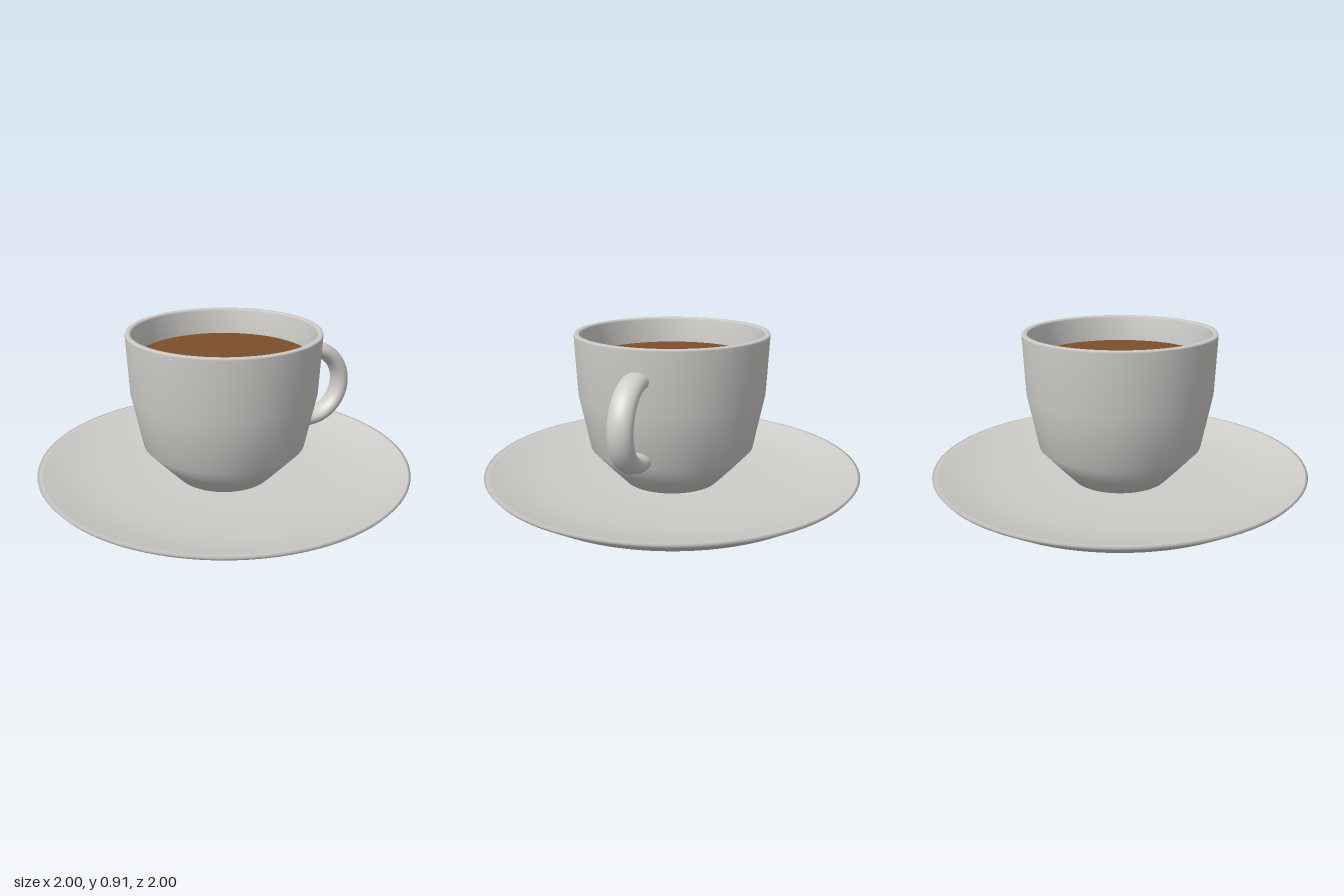
import * as THREE from 'three';

const SEGMENTS = 96;

// Turned part from [radius, height] pairs, listed from the bottom outside to the inside
function turned(name, points, material) {
  const profile = points.map(([r, y]) => new THREE.Vector2(r, y));
  const mesh = new THREE.Mesh(new THREE.LatheGeometry(profile, SEGMENTS), material);
  mesh.name = name;
  return mesh;
}

export function createModel() {
  const porcelain = new THREE.MeshStandardMaterial({ color: 0xcfcdc9 });
  porcelain.name = 'porcelain';
  const coffeeBrown = new THREE.MeshStandardMaterial({ color: 0x7b4e2b });
  coffeeBrown.name = 'coffee brown';

  const model = new THREE.Group();
  model.name = 'cupAndSaucer';

  // Saucer: flat foot, stepped underside, thin lip and dished top
  model.add(turned('saucer', [
    [0, 0], [0.64, 0], [0.655, 0.006], [0.695, 0.05], [0.87, 0.095], [0.985, 0.168],
    [1, 0.187], [0.985, 0.19], [0.965, 0.183], [0.85, 0.15], [0.72, 0.126],
    [0.55, 0.112], [0.35, 0.108], [0, 0.108],
  ], porcelain));

  // Cup: tapered foot, rounded lip and hollow inside
  model.add(turned('cup', [
    [0, 0.09], [0.24, 0.09], [0.345, 0.2], [0.436, 0.3], [0.494, 0.59], [0.508, 0.9],
    [0.505, 0.91], [0.484, 0.91], [0.477, 0.9], [0.462, 0.77], [0.45, 0.6],
    [0.395, 0.32], [0.24, 0.17], [0, 0.16],
  ], porcelain));

  // Coffee surface
  const coffee = new THREE.Mesh(new THREE.CircleGeometry(0.462, SEGMENTS), coffeeBrown);
  coffee.name = 'coffee';
  coffee.rotation.x = -Math.PI / 2;
  coffee.position.y = 0.77;
  model.add(coffee);

  // Handle: half ring with an oval section, widened along z
  const handle = new THREE.Group();
  handle.name = 'handle';
  handle.position.set(0.497, 0.555, 0);
  handle.scale.z = 1.42;
  const ringRadius = 0.2, tubeRadius = 0.0445, halfArc = 1.65;
  const ringGeometry = new THREE.TorusGeometry(ringRadius, tubeRadius, 24, 48, halfArc * 2);
  ringGeometry.rotateZ(-halfArc);
  const ring = new THREE.Mesh(ringGeometry, porcelain);
  ring.name = 'handleRing';
  handle.add(ring);

  // Flat ends of the handle
  for (const side of [1, -1]) {
    const capGeometry = new THREE.CircleGeometry(tubeRadius, 24);
    capGeometry.rotateX(-side * Math.PI / 2);
    capGeometry.translate(ringRadius, 0, 0);
    capGeometry.rotateZ(side * halfArc);
    const cap = new THREE.Mesh(capGeometry, porcelain);
    cap.name = side > 0 ? 'handleTopEnd' : 'handleBottomEnd';
    handle.add(cap);
  }
  model.add(handle);

  return model;
}
